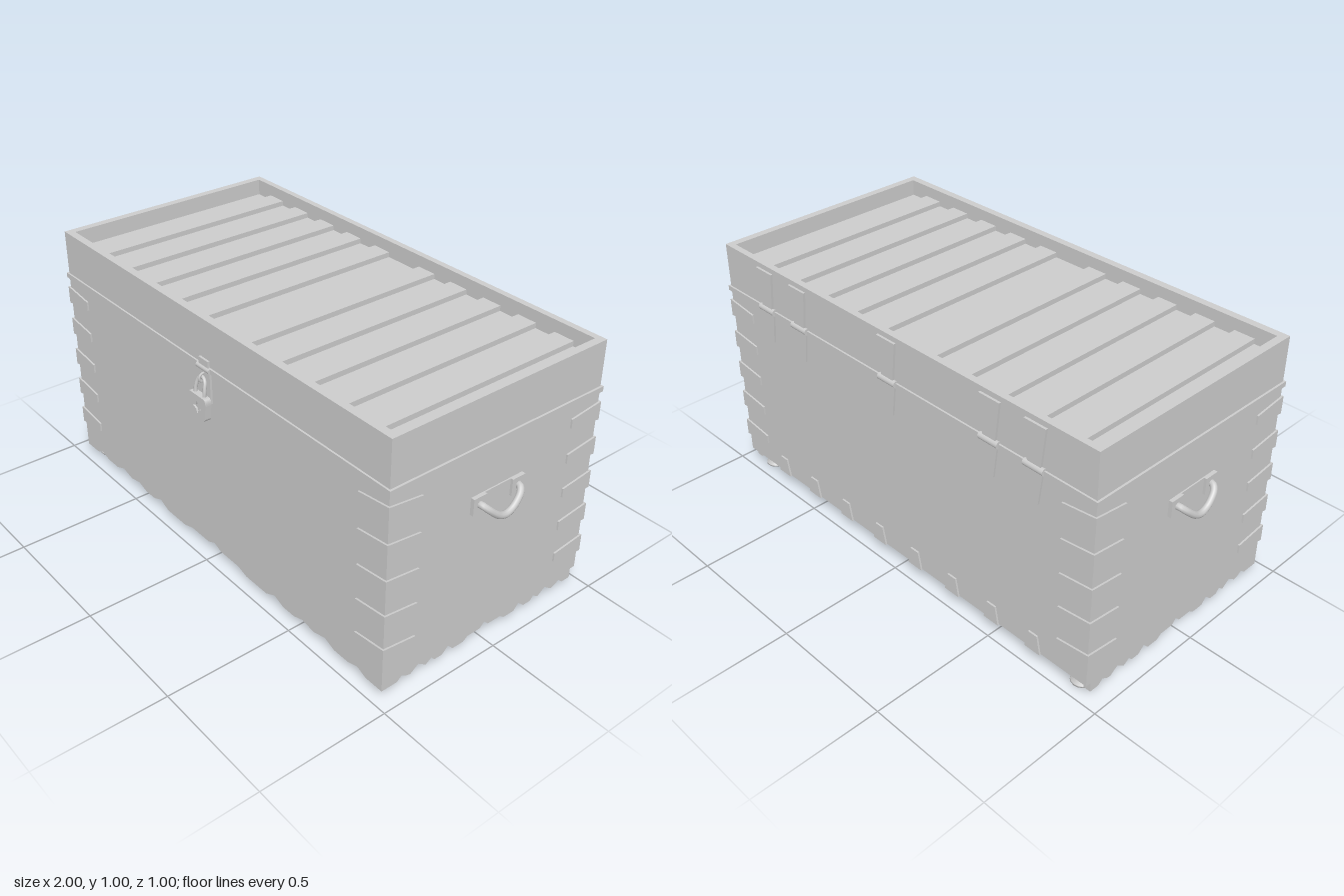
import * as THREE from 'three';

const mat = new THREE.MeshStandardMaterial({ color: 0xcccccc });

function add(parent, name, geo, x = 0, y = 0, z = 0, rx = 0, ry = 0, rz = 0) {
  const m = new THREE.Mesh(geo, mat);
  m.name = name;
  m.position.set(x, y, z);
  m.rotation.set(rx, ry, rz);
  parent.add(m);
  return m;
}
const box = (w, h, d) => new THREE.BoxGeometry(w, h, d);
const poly = (pts) => new THREE.Shape(pts.map(([x, y]) => new THREE.Vector2(x, y)));
const extrude = (shape, depth) =>
  new THREE.ExtrudeGeometry(shape, { depth, bevelEnabled: false, curveSegments: 8 });

// Tapered metal strap starting at the origin and pointing along +x
const strap = (len, w0, w1, depth) =>
  extrude(poly([[0, -w0 / 2], [len, -w1 / 2], [len, w1 / 2], [0, w0 / 2]]), depth);

// Wall with a mirrored, carved lower edge; half lists points from the middle outwards
function carvedWall(half, top) {
  const end = half[half.length - 1][0];
  const mirrored = half.slice(1).reverse().map(([x, y]) => [-x, y]);
  return extrude(poly([...mirrored, ...half, [end, top], [-end, top]]), 0.03);
}

function createModel() {
  const chest = new THREE.Group();
  chest.name = 'chest';
  const PI = Math.PI;

  // Body walls
  const frontEdge = [[0, 0.06], [0.04, 0.043], [0.15, 0.043], [0.2, 0.027], [0.32, 0.027],
    [0.37, 0.05], [0.42, 0.03], [0.48, 0.03], [0.53, 0.046], [0.59, 0.034], [0.65, 0.05],
    [0.7, 0.03], [0.77, 0.03], [0.82, 0.044], [0.86, 0.026], [0.94, 0.025]];
  const sideEdge = [[0, 0.06], [0.02, 0.04], [0.08, 0.04], [0.1, 0.025], [0.15, 0.025],
    [0.173, 0.05], [0.2, 0.025], [0.235, 0.025], [0.25, 0.042], [0.275, 0.025], [0.31, 0.05],
    [0.345, 0.025], [0.365, 0.03], [0.385, 0.043], [0.405, 0.025], [0.445, 0.025]];
  add(chest, 'frontWall', carvedWall(frontEdge, 0.82), 0, 0, 0.43);
  for (const s of [1, -1])
    add(chest, 'sideWall', carvedWall(sideEdge, 0.82), s * 0.94 - (s > 0 ? 0.03 : -0.03), 0, -0.0125, 0, s * PI / 2);
  add(chest, 'backWall', box(1.88, 0.755, 0.03), 0, 0.4425, -0.465);
  add(chest, 'bottomBoard', box(1.86, 0.03, 0.92), 0, 0.08, -0.01);

  // Lid frame with recessed, alternating slats
  const rim = poly([[-0.94, -0.46], [0.94, -0.46], [0.94, 0.48], [-0.94, 0.48]]);
  rim.holes.push(new THREE.Path([[-0.91, -0.43], [-0.91, 0.455], [0.91, 0.455], [0.91, -0.43]]
    .map(([x, y]) => new THREE.Vector2(x, y))));
  add(chest, 'lidFrame', extrude(rim, 0.18), 0, 0.825, 0, -PI / 2);
  const n = 22, sw = 1.82 / n;
  for (let i = 0; i < n; i++) {
    const k = Math.min(i, n - 1 - i);
    const h = k % 2 ? 0.05 : 0.03;
    add(chest, 'lidSlat', box(sw, h, 0.885), -0.91 + (i + 0.5) * sw, 0.91 + h / 2, 0.0125 - 0.025);
  }
  add(chest, 'lidBand', box(1.896, 0.02, 0.954), 0, 0.82, -0.01);

  // Corner straps: each face lists its turn and its two corner positions
  const faces = [
    [0, [-0.947, 0.46], [0.947, 0.46]],
    [PI / 2, [0.94, 0.467], [0.94, -0.487]],
    [PI, [0.947, -0.48], [-0.947, -0.48]],
    [-PI / 2, [-0.94, -0.487], [-0.94, 0.467]],
  ];
  const cornerGeo = strap(0.141, 0.07, 0.036, 0.007);
  for (const [ry, a, b] of faces)
    for (let r = 0; r < 5; r++) {
      const y = 0.175 + r * 0.14;
      add(chest, 'cornerStrap', cornerGeo, a[0], y, a[1], 0, ry, 0);
      add(chest, 'cornerStrap', cornerGeo, b[0], y, b[1], 0, ry, PI);
    }

  // Straps along the lower back edge
  const lowGeo = strap(0.075, 0.07, 0.04, 0.007);
  for (let i = 0; i < 8; i++)
    add(chest, 'lowerBackStrap', lowGeo, -0.7 + i * 0.2, 0.063, -0.48, 0, PI, PI / 2);

  // Hinges
  const hingeTop = strap(0.16, 0.092, 0.055, 0.009);
  const hingeLow = strap(0.135, 0.075, 0.04, 0.008);
  const barrel = new THREE.CylinderGeometry(0.013, 0.013, 0.085, 12);
  for (const x of [-0.69, -0.493, 0, 0.493, 0.69]) {
    const hinge = new THREE.Group();
    hinge.name = 'hinge';
    hinge.position.x = x;
    add(hinge, 'upperLeaf', hingeTop, 0, 0.985, -0.48, 0, PI, -PI / 2);
    add(hinge, 'lowerLeaf', hingeLow, 0, 0.825, -0.48, 0, PI, -PI / 2);
    add(hinge, 'barrel', barrel, 0, 0.825, -0.485, 0, 0, PI / 2);
    chest.add(hinge);
  }

  // Turned feet
  const footGeo = new THREE.LatheGeometry([[0, 0], [0.042, 0], [0.041, 0.006], [0.021, 0.028],
    [0.02, 0.045], [0.036, 0.055], [0.036, 0.067]].map(([x, y]) => new THREE.Vector2(x, y)), 16);
  for (const x of [-0.868, 0.868])
    for (const z of [0.396, -0.415]) add(chest, 'foot', footGeo, x, 0, z);

  // Side handles
  for (const s of [1, -1]) {
    const handle = new THREE.Group();
    handle.name = 'sideHandle';
    handle.position.z = -0.008;
    add(handle, 'backPlate', box(0.006, 0.065, 0.234), s * 0.942, 0.6075, 0);
    for (const e of [1, -1])
      add(handle, 'lug', box(0.016, 0.065, 0.058), s * 0.947, 0.6075, e * 0.088);
    const half = [[0.94, 0.608, 0.088], [0.962, 0.61, 0.087], [0.977, 0.598, 0.075],
      [0.985, 0.575, 0.05], [0.987, 0.557, 0.025]];
    const pts = [...half, [0.987, 0.55, 0], ...half.slice().reverse().map(([x, y, z]) => [x, y, -z])]
      .map(([x, y, z]) => new THREE.Vector3(s * x, y, z));
    add(handle, 'bail', new THREE.TubeGeometry(new THREE.CatmullRomCurve3(pts), 32, 0.013, 10));
    chest.add(handle);
  }

  // Hasp and padlock
  const lock = new THREE.Group();
  lock.name = 'lock';
  add(lock, 'haspTop', box(0.054, 0.05, 0.01), 0, 0.83, 0.464);
  add(lock, 'haspKnuckle', new THREE.CylinderGeometry(0.01, 0.01, 0.075, 10), 0, 0.82, 0.466, 0, 0, PI / 2);
  add(lock, 'haspPlate', box(0.07, 0.12, 0.008), 0, 0.75, 0.464);
  add(lock, 'staple', new THREE.TorusGeometry(0.016, 0.005, 6, 14), 0, 0.785, 0.472, 0, PI / 2);
  const shackle = new THREE.CatmullRomCurve3([[-0.026, 0.71, 0.49], [-0.026, 0.75, 0.485],
    [-0.018, 0.778, 0.477], [0, 0.788, 0.474], [0.018, 0.778, 0.477], [0.026, 0.75, 0.485],
    [0.026, 0.71, 0.49]].map((p) => new THREE.Vector3(...p)));
  add(lock, 'shackle', new THREE.TubeGeometry(shackle, 24, 0.007, 8));
  const body = new THREE.Shape();
  body.moveTo(-0.04, 0.725);
  body.lineTo(0.04, 0.725);
  body.quadraticCurveTo(0.054, 0.725, 0.052, 0.7);
  body.lineTo(0.046, 0.645);
  body.quadraticCurveTo(0.04, 0.625, 0, 0.625);
  body.quadraticCurveTo(-0.04, 0.625, -0.046, 0.645);
  body.lineTo(-0.052, 0.7);
  body.quadraticCurveTo(-0.054, 0.725, -0.04, 0.725);
  const star = [];
  for (let i = 0; i < 8; i++) {
    const r = i % 2 ? 0.011 : 0.026, t = -i * PI / 4;
    star.push(new THREE.Vector2(Math.sin(t) * r, 0.675 + Math.cos(t) * r));
  }
  const face = body.clone();
  face.holes.push(new THREE.Path(star));
  face.holes[0].closePath();
  add(lock, 'padlockBack', extrude(body, 0.018), 0, 0, 0.478);
  add(lock, 'padlockFace', extrude(face, 0.007), 0, 0, 0.496);
  chest.add(lock);

  return chest;
}

export { createModel };
